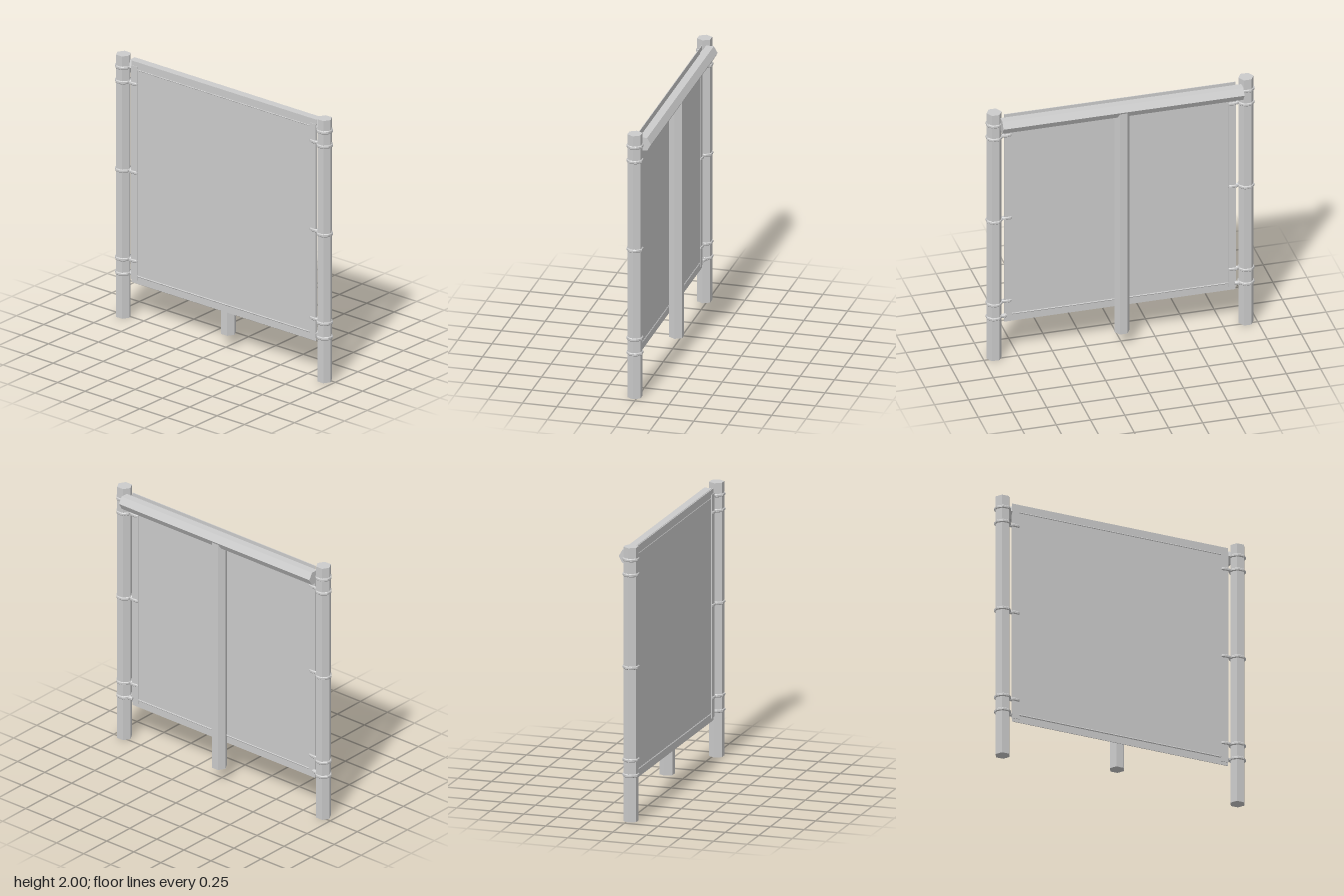
import * as THREE from 'three';

const material = new THREE.MeshStandardMaterial({ color: 0xcccccc, flatShading: true });

export function createModel() {
  const model = new THREE.Group();

  const add = (name, geometry, x, y, z) => {
    const mesh = new THREE.Mesh(geometry, material);
    mesh.name = name;
    mesh.position.set(x, y, z);
    model.add(mesh);
    return mesh;
  };

  // Hexagonal pole, corners pointing to +x and -x
  const pole = (radius, length) =>
    new THREE.CylinderGeometry(radius, radius, length, 6).rotateY(Math.PI / 6 + Math.PI / 3);

  // Flat-lying closed loop of cord, taller than it is thick
  const loop = (rx, rz, segments) => {
    const points = [];
    for (let i = 0; i < segments; i++) {
      const a = ((i + 0.5) / segments) * Math.PI * 2;
      points.push(new THREE.Vector3(Math.cos(a) * rx, 0, Math.sin(a) * rz));
    }
    const path = new THREE.CatmullRomCurve3(points, true, 'catmullrom', 0.1);
    return new THREE.TubeGeometry(path, segments * 2, 0.007, 6, true).scale(1, 1.8, 1);
  };

  const postX = 0.92, postZ = 0.021, backZ = -0.029, sheetZ = 0.022;

  // Rear frame: upright and top beam
  add('centrePost', pole(0.055, 1.81), 0, 1.005, backZ);
  const beamGeometry = new THREE.CylinderGeometry(0.056, 0.056, 1.76, 6).rotateZ(Math.PI / 2);
  add('topBeam', beamGeometry, 0, 1.91, backZ);

  // Stretched panel and the thin rod through its lower hem
  add('panel', new THREE.BoxGeometry(1.69, 1.69, 0.005), 0, 1.125, sheetZ);
  const rodGeometry = new THREE.CylinderGeometry(0.007, 0.007, 1.7, 6).rotateZ(Math.PI / 2);
  add('hemRod', rodGeometry, 0, 0.338, sheetZ);

  for (const side of [-1, 1]) {
    const label = side > 0 ? 'left' : 'right';
    add(label + 'Post', pole(0.055, 2), side * postX, 1, postZ);
    // Stiffening strip along the panel edge
    add(label + 'EdgeStrip', new THREE.BoxGeometry(0.055, 1.63, 0.015), side * 0.8175, 1.12, sheetZ);

    // Cords round the post
    for (const y of [0.338, 0.45, 1.125, 1.8, 1.91]) {
      add(label + 'PostTie', loop(0.055, 0.055, 8), side * postX, y, postZ);
    }
    // Cords round the edge strip
    for (const y of [0.45, 1.125, 1.8]) {
      add(label + 'EdgeTie', loop(0.036, 0.012, 10), side * 0.828, y, sheetZ);
    }
    // Short cords to the beam and the hem rod
    for (const y of [0.338, 1.91]) {
      add(label + 'CornerTie', loop(0.025, 0.008, 8), side * 0.858, y, 0.006);
    }
  }
  return model;
}
